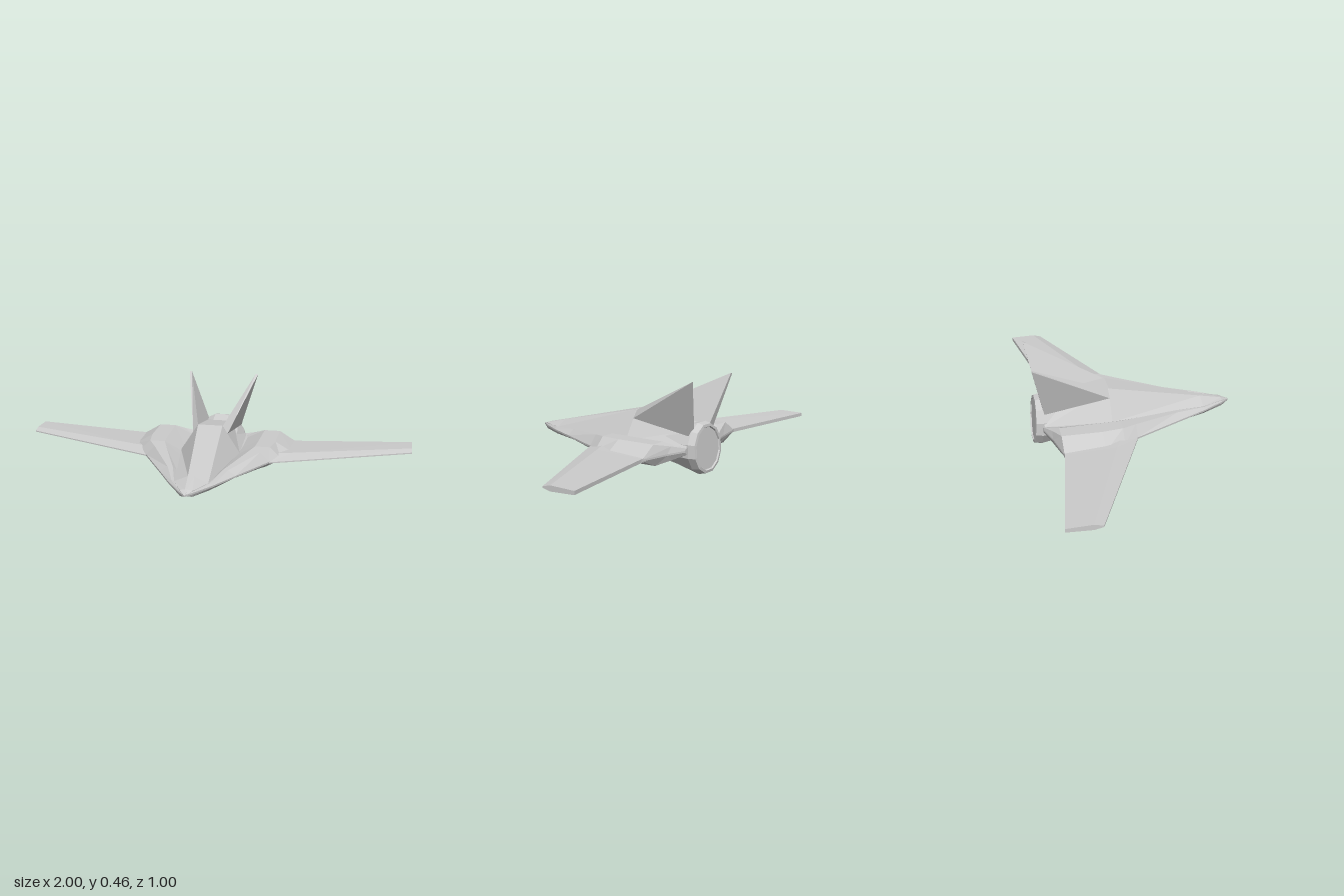
import * as THREE from 'three';

const material = new THREE.MeshStandardMaterial({ color: 0xcccccc, flatShading: true });

// Skins a list of closed cross-sections, fans both ends shut and turns faces outward.
function loft(name, rings) {
  const tris = [];
  const n = rings[0].length;
  for (let i = 0; i < rings.length - 1; i++) {
    for (let j = 0; j < n; j++) {
      const k = (j + 1) % n;
      const a = rings[i][j], b = rings[i][k], c = rings[i + 1][k], d = rings[i + 1][j];
      tris.push([a, b, c], [a, c, d]);
    }
  }
  const cap = (ring, flip) => {
    const mid = [0, 1, 2].map((q) => ring.reduce((s, p) => s + p[q], 0) / n);
    ring.forEach((p, j) => {
      const next = ring[(j + 1) % n];
      tris.push(flip ? [mid, next, p] : [mid, p, next]);
    });
  };
  cap(rings[0], true);
  cap(rings[rings.length - 1], false);

  const v = (p) => new THREE.Vector3(...p);
  const volume = tris.reduce((s, [a, b, c]) => s + v(a).dot(v(b).cross(v(c))), 0);
  if (volume < 0) tris.forEach((t) => t.reverse());
  const geometry = new THREE.BufferGeometry();
  geometry.setAttribute('position', new THREE.Float32BufferAttribute(tris.flat(2), 3));
  geometry.computeVertexNormals();
  const mesh = new THREE.Mesh(geometry, material);
  mesh.name = name;
  return mesh;
}

// Full symmetric cross-section at z from the points of its +x half, bottom to top.
const mirrored = (half, z) => [
  ...half.map(([x, y]) => [x, y, z]),
  ...half.slice().reverse().map(([x, y]) => [-x, y, z]),
];

// Blended lower body with a raised shoulder on each side.
function makeHull() {
  // z, half width, shoulder outer x, shoulder inner x, shoulder y, valley x, belly y
  const stations = [
    [0.5, 0.002, 0.0015, 0.001, 0.132, 0.0005, 0.129],
    [0.46, 0.035, 0.03, 0.025, 0.14, 0.02, 0.114],
    [0.35, 0.105, 0.092, 0.088, 0.145, 0.08, 0.11],
    [0.2, 0.185, 0.145, 0.12, 0.158, 0.1, 0.104],
    [-0.03, 0.31, 0.265, 0.205, 0.181, 0.135, 0.093],
    [-0.1, 0.36, 0.305, 0.23, 0.188, 0.145, 0.088],
    [-0.2, 0.41, 0.32, 0.235, 0.188, 0.15, 0.087],
    [-0.39, 0.405, 0.32, 0.24, 0.187, 0.15, 0.087],
    [-0.42, 0.25, 0.22, 0.19, 0.165, 0.14, 0.1],
    [-0.45, 0.15, 0.14, 0.13, 0.145, 0.12, 0.115],
  ];
  return loft('hull', stations.map(([z, w, outer, inner, top, valley, belly]) => {
    const vy = Math.min(top, 0.143);
    return mirrored([[outer * 0.95, belly], [w, 0.127], [w, 0.135], [outer, top], [inner, top], [valley, vy]], z);
  }));
}

// Tall centre ridge: sloping nose, flat top, falling deck between the fins.
function makeRidge() {
  // z, base half width, top half width, top y
  const stations = [
    [0.5, 0.002, 0.001, 0.132],
    [0.46, 0.03, 0.006, 0.147],
    [0.35, 0.08, 0.015, 0.172],
    [-0.12, 0.15, 0.062, 0.28],
    [-0.445, 0.135, 0.062, 0.218],
  ];
  return loft('centreRidge', stations.map(([z, base, top, y]) =>
    mirrored([[base, 0.126], [base, Math.min(0.143, y - 0.003)], [top, y]], z)));
}

// Twelve-sided engine with a bevelled, slightly raked rim and a recessed face.
function makeEngine() {
  // z, radius x, radius y, centre y, rake
  const stations = [
    [-0.14, 0.125, 0.04, 0.128, 0],
    [-0.45, 0.13, 0.125, 0.125, 0.005],
    [-0.483, 0.122, 0.117, 0.125, 0.008],
    [-0.485, 0.107, 0.104, 0.125, 0.008],
    [-0.478, 0.104, 0.1, 0.125, 0.008],
  ];
  return loft('engine', stations.map(([z, rx, ry, cy, rake]) =>
    Array.from({ length: 12 }, (_, i) => {
      const a = ((i + 0.5) / 12) * Math.PI * 2;
      return [Math.cos(a) * rx, cy + Math.sin(a) * ry, z + Math.sin(a) * rake];
    })));
}

// Thin swept wing with a sharp leading edge.
function makeWing(side) {
  // x, leading z, trailing z, top y, bottom y, bevel depth
  const stations = [
    [0.22, 0.0, -0.4, 0.155, 0.112, 0.1],
    [0.31, -0.03, -0.4, 0.154, 0.114, 0.08],
    [0.41, -0.072, -0.39, 0.151, 0.116, 0.075],
    [1, -0.32, -0.48, 0.143, 0.118, 0.04],
  ];
  return loft(side > 0 ? 'leftWing' : 'rightWing', stations.map(([x, front, back, top, bottom, bevel]) => [
    [side * x, 0.133, front],
    [side * x, top, front - bevel],
    [side * x, 0.139, back],
    [side * x, 0.122, back],
    [side * x, bottom, front - bevel],
    [side * x, 0.127, front],
  ]));
}

// Outward-canted triangular tail fin, thicker at the root.
function makeFin(side) {
  const inner = [[0.062, 0.276, -0.12], [0.064, 0.212, -0.445], [0.172, 0.46, -0.5]];
  const outer = [[0.088, 0.24, -0.12], [0.108, 0.195, -0.44], [0.184, 0.458, -0.5]];
  const flip = ([x, y, z]) => [side * x, y, z];
  return loft(side > 0 ? 'leftTailFin' : 'rightTailFin', [inner.map(flip), outer.map(flip)]);
}

export function createModel() {
  const group = new THREE.Group();
  group.name = 'aircraft';
  group.add(makeHull(), makeRidge(), makeEngine());
  for (const side of [1, -1]) group.add(makeWing(side), makeFin(side));
  return group;
}
